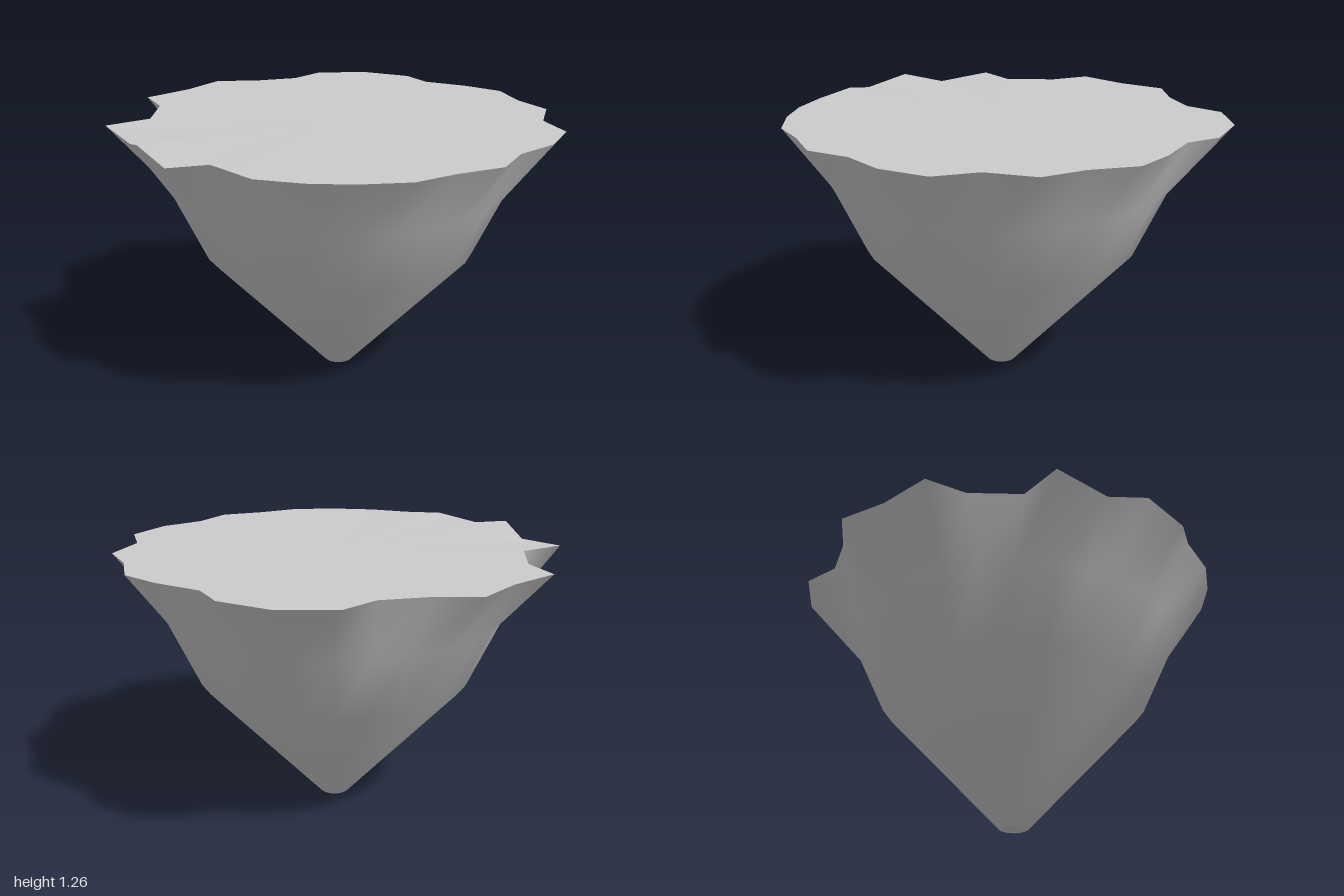
import * as THREE from 'three';

// Jagged rim outline as x, z pairs, one every 12 degrees from +x towards +z
const RIM = [
  0.96, -0.02, 1, 0.18, 0.9, 0.37, 0.83, 0.56, 0.67, 0.72, 0.51, 0.83,
  0.32, 0.91, 0.11, 0.92, -0.08, 0.985, -0.3, 0.93, -0.47, 0.82, -0.735, 0.73,
  -0.67, 0.52, -0.82, 0.32, -1, 0.235, -0.97, -0.02, -0.99, -0.255, -0.83, -0.4,
  -0.71, -0.57, -0.7, -0.76, -0.51, -0.93, -0.26, -0.99, -0.1, -0.93, 0.12, -0.975,
  0.32, -0.98, 0.5, -0.85, 0.69, -0.775, 0.78, -0.565, 0.95, -0.455, 1, -0.23,
];
const TOP = 1.235;
const SIDES = RIM.length / 2;
// Uneven rim heights along the front edge
const RIM_Y = { 7: 1.255, 8: 1.22, 9: 1.265, 10: 1.215 };
const CX = 0.017, CZ = -0.017;

function buildGeometry(points, index) {
  const g = new THREE.BufferGeometry();
  g.setAttribute('position', new THREE.Float32BufferAttribute(points, 3));
  g.setIndex(index);
  g.computeVertexNormals();
  return g;
}

export function createModel() {
  const group = new THREE.Group();
  const material = new THREE.MeshStandardMaterial({ color: 0xcccccc });

  const rim = [];
  for (let i = 0; i < SIDES; i++) rim.push(RIM[2 * i], RIM_Y[i] ?? TOP, RIM[2 * i + 1]);

  // Tapering underside: round rings [radius, height], then the jagged rim
  const points = [CX, 0, CZ];
  for (const [r, y] of [[0.07, 0.005], [0.645, 0.63], [0.79, 0.945]]) {
    for (let i = 0; i < SIDES; i++) {
      const a = (i / SIDES) * Math.PI * 2;
      points.push(CX + r * Math.cos(a), y, CZ + r * Math.sin(a));
    }
  }
  points.push(...rim);
  const index = [];
  for (let i = 0; i < SIDES; i++) {
    const j = (i + 1) % SIDES;
    index.push(0, 1 + i, 1 + j);
    for (let k = 0; k < 3; k++) {
      const low = 1 + k * SIDES, up = low + SIDES;
      index.push(low + i, up + i, low + j, up + i, up + j, low + j);
    }
  }
  const underside = new THREE.Mesh(buildGeometry(points, index), material);
  underside.name = 'rockUnderside';

  // Flat ground: a fan from the centre to the rim
  const fan = [];
  for (let i = 0; i < SIDES; i++) fan.push(0, 1 + ((i + 1) % SIDES), 1 + i);
  const ground = new THREE.Mesh(buildGeometry([CX, TOP, CZ, ...rim], fan), material);
  ground.name = 'groundTop';

  group.add(underside, ground);
  return group;
}
